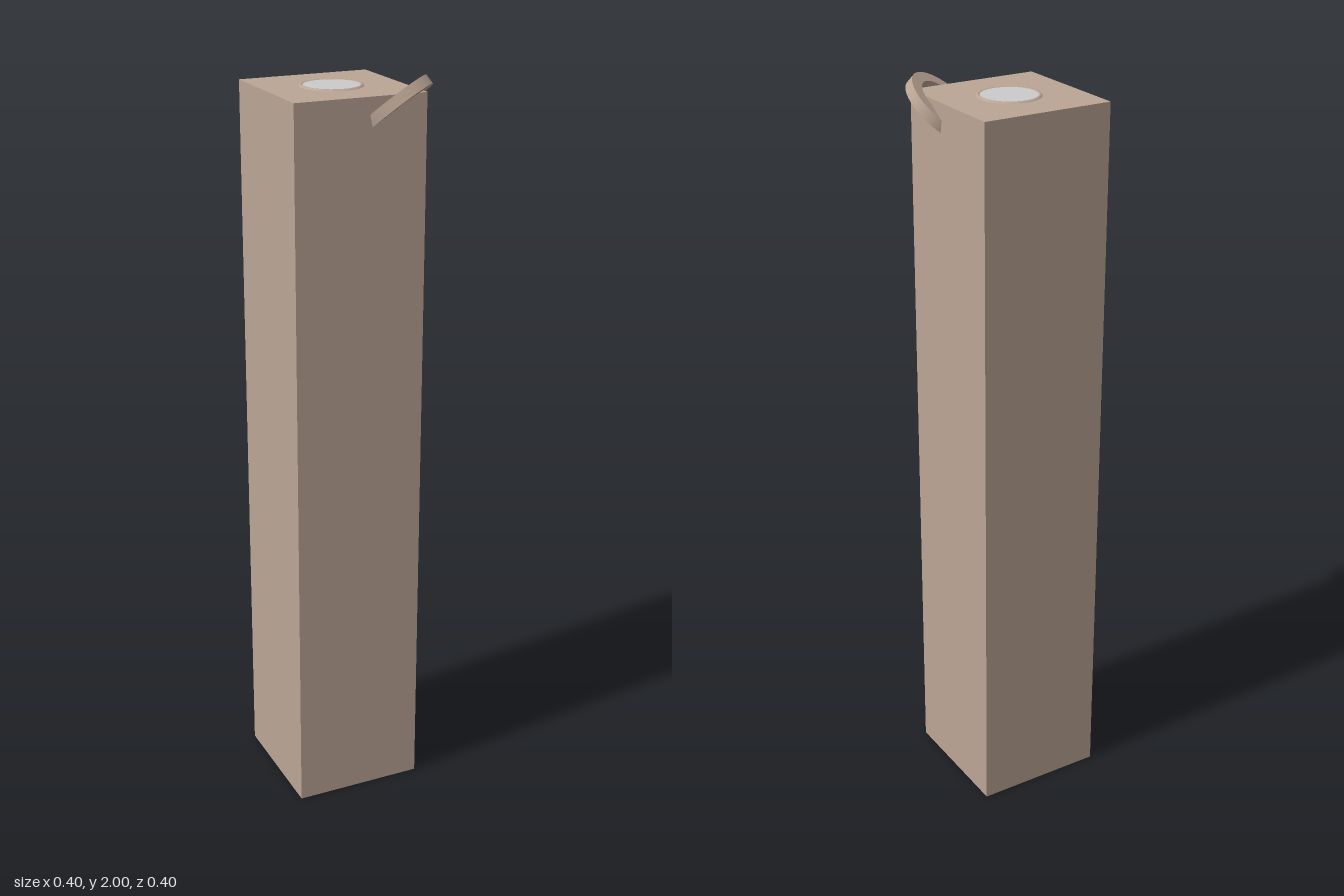
import * as THREE from 'three';

export function createModel() {
  const group = new THREE.Group();
  const brown = new THREE.MeshStandardMaterial({ color: 0xbba595 });
  const grey = new THREE.MeshStandardMaterial({ color: 0xcccccc });

  const add = (name, geometry, material, x, y, z) => {
    const mesh = new THREE.Mesh(geometry, material);
    mesh.name = name;
    mesh.position.set(x, y, z);
    group.add(mesh);
    return mesh;
  };

  // Square post
  const width = 0.357, height = 1.96, centre = -0.022;
  add('post', new THREE.BoxGeometry(width, height, width), brown, centre, height / 2, centre);

  // Thin bevelled collar around the round cap on top
  const collar = [[0.082, 0], [0.078, 0.004], [0.075, 0.004], [0.072, 0.001]]
    .map(([r, y]) => new THREE.Vector2(r, y));
  const collarMaterial = brown.clone();
  collarMaterial.side = THREE.DoubleSide;
  add('capCollar', new THREE.LatheGeometry(collar, 64), collarMaterial, centre, height, centre);
  add('cap', new THREE.CylinderGeometry(0.073, 0.073, 0.003, 64), grey, centre, height + 0.0012, centre);

  // Flat ring through the front corner, tilted up and outward
  const outer = 0.111, inner = 0.08, thick = 0.0275, tilt = THREE.MathUtils.degToRad(40);
  const shape = new THREE.Shape().absarc(0, 0, outer, 0, Math.PI * 2, false);
  shape.holes.push(new THREE.Path().absarc(0, 0, inner, 0, Math.PI * 2, true));
  const ringGeometry = new THREE.ExtrudeGeometry(shape, { depth: thick, bevelEnabled: false, curveSegments: 48 });
  ringGeometry.translate(0, 0, -thick / 2);
  ringGeometry.rotateX(-Math.PI / 2 - tilt);
  ringGeometry.rotateY(Math.PI / 4);
  add('cornerRing', ringGeometry, brown, 0.095, 1.918, 0.095);

  return group;
}
